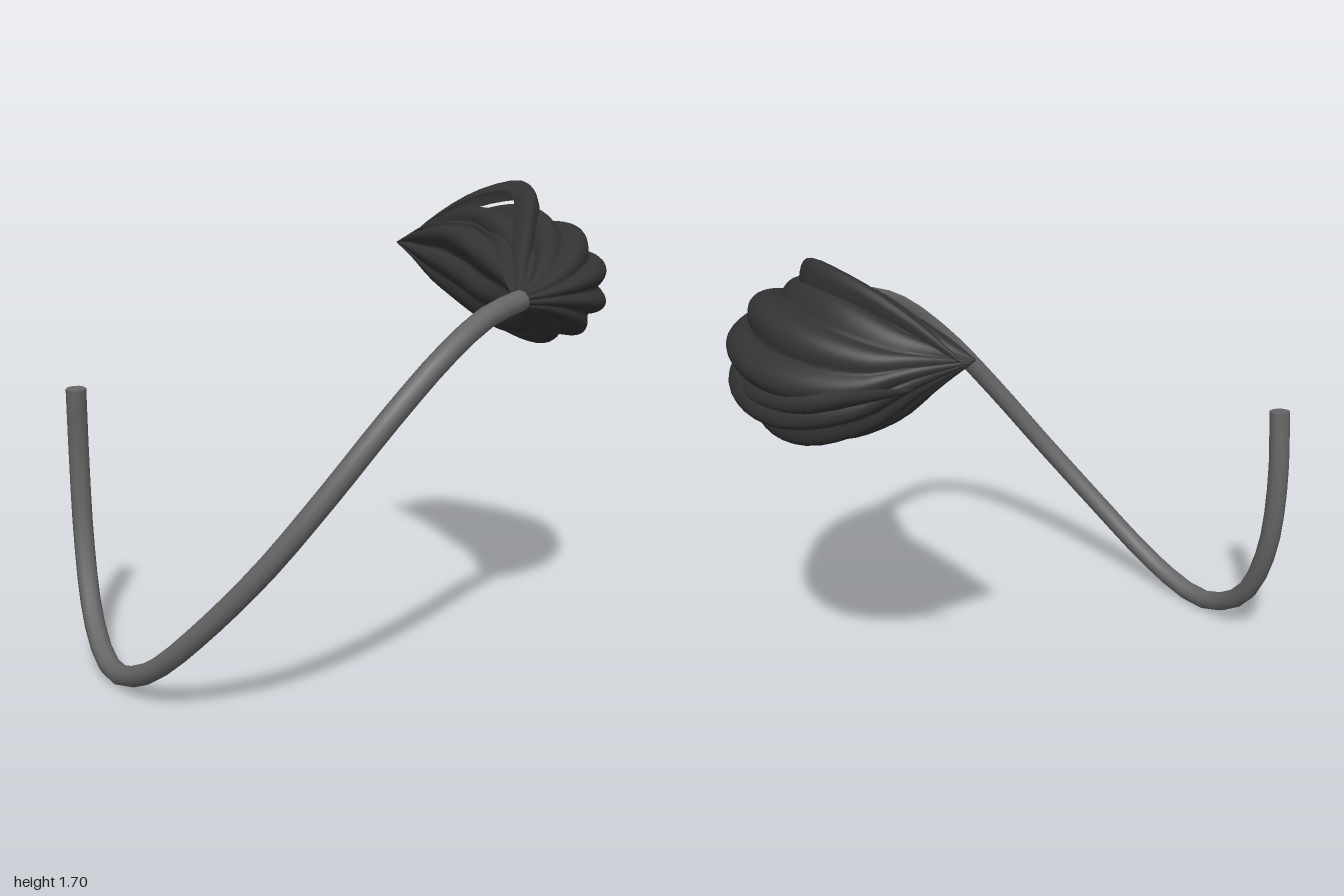
import * as THREE from 'three';

const V = (p) => new THREE.Vector3(...p);
const curve = (pts, type = 'centripetal') => new THREE.CatmullRomCurve3(pts.map(V), false, type);

// Surface from a grid of points: at(s, t) with s along the length, t across
function gridGeometry(rows, cols, at) {
  const pos = [], idx = [];
  for (let i = 0; i <= rows; i++)
    for (let j = 0; j <= cols; j++) pos.push(...at(i / rows, j / cols).toArray());
  for (let i = 0; i < rows; i++)
    for (let j = 0; j < cols; j++) {
      const a = i * (cols + 1) + j, b = a + cols + 1;
      idx.push(a, b, a + 1, b, b + 1, a + 1);
    }
  const g = new THREE.BufferGeometry();
  g.setAttribute('position', new THREE.Float32BufferAttribute(pos, 3));
  g.setIndex(idx);
  g.computeVertexNormals();
  return g;
}

// Closed bud: inner edge, outer edge and height of each section, with scalloped lobes
function budGeometry() {
  const inner = curve([
    [.49, 1.365, .41], [.515, 1.365, .3], [.52, 1.37, .15], [.505, 1.38, 0], [.475, 1.40, -.12],
    [.445, 1.43, -.26], [.41, 1.45, -.38], [.365, 1.455, -.5], [.335, 1.46, -.58], [.31, 1.46, -.625]],
  'catmullrom');
  const outer = curve([
    [.52, 1.365, .43], [.66, 1.365, .37], [.81, 1.36, .26], [.93, 1.35, .08], [.99, 1.345, -.12],
    [.965, 1.33, -.31], [.87, 1.33, -.47], [.70, 1.36, -.59], [.53, 1.42, -.63], [.33, 1.455, -.635]],
  'catmullrom');
  const half = curve([.025, .065, .135, .20, .24, .245, .215, .145, .07, .005].map((h) => [h, 0, 0]),
    'catmullrom');
  const lobes = 10;
  return gridGeometry(30, 120, (s, t) => {
    const a = t * Math.PI * 2;
    const p = inner.getPoint(s), q = outer.getPoint(s);
    const c = p.clone().add(q).multiplyScalar(0.5);
    const u = q.sub(p).multiplyScalar(0.5);
    const twist = a + 0.2 + 0.25 * s;
    const r = 1.02 - 0.19 * (1 - Math.abs(Math.cos(twist * lobes / 2)));
    c.addScaledVector(u, Math.cos(a) * r);
    c.y += half.getPoint(s).x * Math.sin(a) * r;
    return c;
  });
}

// Loose petal: arched strip along a path, pointed at its tip
function petalGeometry(points, width, arch) {
  const path = curve(points), centre = V([.62, 1.38, -.15]);
  return gridGeometry(20, 8, (s, t) => {
    const p = path.getPoint(s), k = t * 2 - 1;
    const out = p.clone().sub(centre).normalize();
    const side = path.getTangent(s).cross(out).normalize();
    const w = width * Math.pow(Math.max(0, Math.sin(Math.PI * (0.08 + 0.92 * s))), 0.8);
    return p.addScaledVector(side, k * w).addScaledVector(out, -arch * w * k * k);
  });
}

export function createModel() {
  const model = new THREE.Group();
  const stemMat = new THREE.MeshStandardMaterial({ color: 0x666666 });
  const budMat = new THREE.MeshStandardMaterial({ color: 0x333333, side: THREE.DoubleSide });
  const add = (name, geometry, material) => {
    const m = new THREE.Mesh(geometry, material);
    m.name = name;
    model.add(m);
    return m;
  };

  // Curling stem
  const path = curve([
    [-.962, .99, -.24], [-.962, .72, -.265], [-.957, .43, -.235], [-.94, .2, -.13],
    [-.91, .085, .01], [-.87, .045, .14], [-.81, .075, .28], [-.73, .155, .42], [-.6, .315, .56],
    [-.4, .565, .695], [-.2, .82, .748], [0, 1.055, .73], [.2, 1.24, .645], [.37, 1.335, .515],
    [.51, 1.365, .40]]);
  const radius = 0.037;
  add('stem', new THREE.TubeGeometry(path, 34, radius, 10), stemMat);

  // Flat cap closing the cut end of the stem
  const cap = add('stemEnd', new THREE.CircleGeometry(radius, 10), stemMat);
  cap.position.copy(path.getPoint(0));
  cap.lookAt(path.getPoint(0).sub(path.getTangent(0)));

  add('bud', budGeometry(), budMat);

  // Petals standing free of the bud: width, arch, path
  const petals = [
    ['upperPetal', 0.05, 1.3, [[.51, 1.38, .4], [.58, 1.49, .2], [.66, 1.62, 0], [.72, 1.69, -.17],
      [.715, 1.715, -.32], [.60, 1.665, -.49], [.47, 1.57, -.6], [.355, 1.46, -.68]]],
    ['innerPetal', 0.055, 0.6, [[.50, 1.38, .4], [.54, 1.45, .2], [.58, 1.53, 0], [.59, 1.58, -.2],
      [.53, 1.57, -.38], [.43, 1.53, -.53], [.31, 1.46, -.63]]],
    ['tipPetal', 0.04, 0.6, [[.965, 1.30, -.15], [.945, 1.30, -.32], [.85, 1.32, -.49],
      [.71, 1.37, -.61], [.53, 1.445, -.78]]],
  ];
  for (const [name, width, arch, points] of petals) add(name, petalGeometry(points, width, arch), budMat);

  return model;
}
